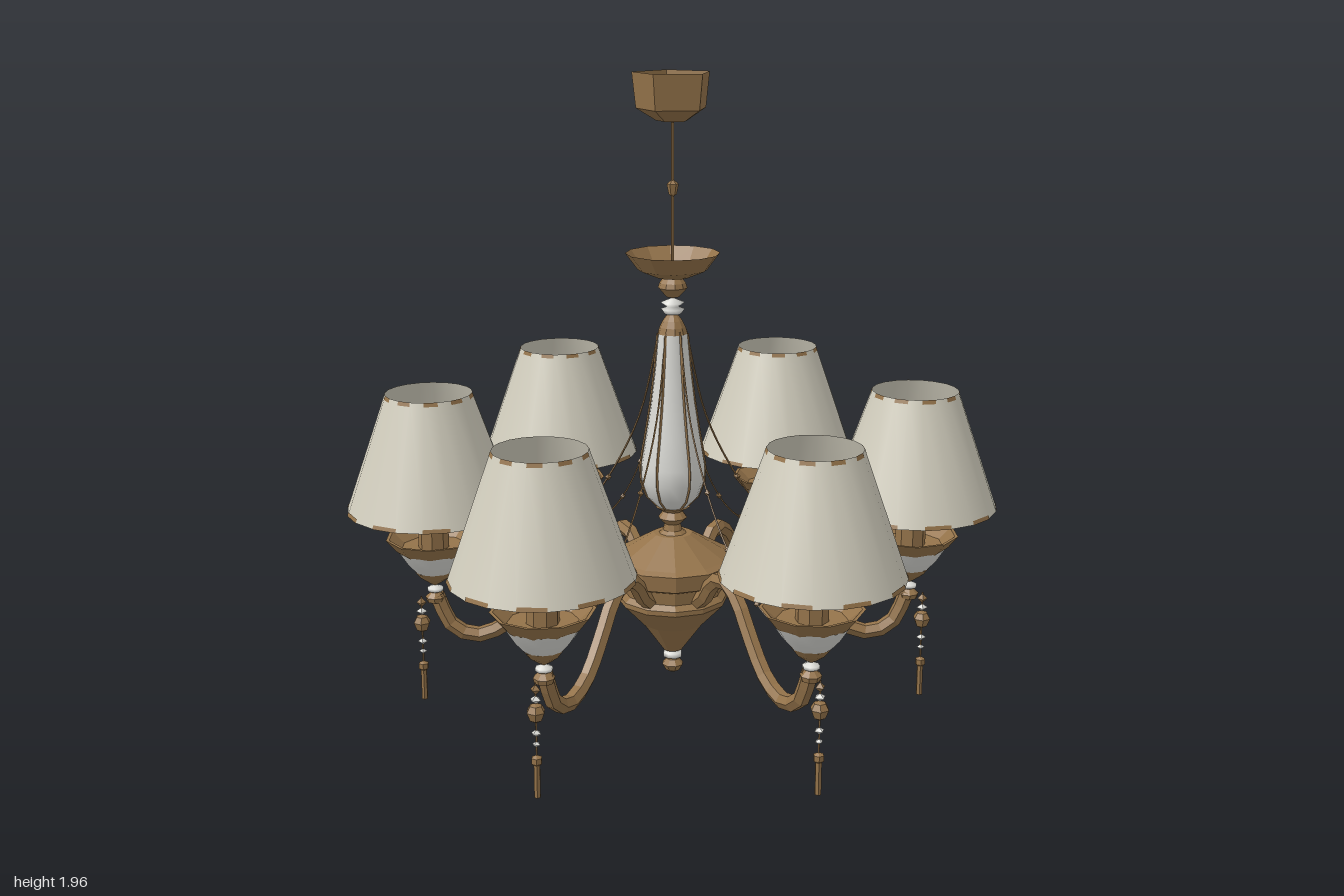
import * as THREE from 'three';

const mat = (name, color, flatShading) => {
  const m = new THREE.MeshStandardMaterial({ color, flatShading, side: THREE.DoubleSide });
  m.name = name;
  return m;
};

export function createModel() {
  const gold = mat('antique gold', 0x94734a, true);
  const fabric = mat('shade fabric', 0xd0ccbc, false);
  const glass = mat('white glass', 0xd9d9d4, false);

  const add = (parent, name, geometry, material) => {
    const mesh = new THREE.Mesh(geometry, material);
    mesh.name = name;
    parent.add(mesh);
    return mesh;
  };
  // Turned part: profile of [radius, y] from bottom to top
  const turned = (parent, name, profile, sides, material, x = 0) => {
    const pts = profile.map(([r, y]) => new THREE.Vector2(r, y));
    const mesh = add(parent, name, new THREE.LatheGeometry(pts, sides), material);
    mesh.position.x = x;
    return mesh;
  };
  // Tube in the plane of an arm through [radius, y] points
  const curveOf = (pts) => new THREE.CatmullRomCurve3(pts.map(([x, y]) => new THREE.Vector3(x, y, 0)));
  const tube = (parent, name, curve, segments, r, sides) =>
    add(parent, name, new THREE.TubeGeometry(curve, segments, r, sides), gold);
  const bead = (parent, name, r, x, y, material, stretch = 1) => {
    const mesh = add(parent, name, new THREE.OctahedronGeometry(r, 0), material);
    mesh.position.set(x, y, 0);
    mesh.scale.y = stretch;
    return mesh;
  };

  const model = new THREE.Group();
  model.name = 'chandelier';

  // Ceiling mount and suspension
  turned(model, 'ceilingCup', [[0, 1.81], [0.05, 1.815], [0.11, 1.85], [0.122, 1.955]], 5, gold);
  turned(model, 'suspensionRod', [[0.005, 1.38], [0.005, 1.83]], 5, gold);
  turned(model, 'rodConnector', [[0, 1.59], [0.012, 1.6], [0.018, 1.63], [0, 1.645]], 6, gold);
  turned(model, 'upperBowl', [[0, 1.35], [0.05, 1.352], [0.105, 1.375], [0.142, 1.425]], 12, gold);

  // Neck beads
  turned(model, 'neckCollar', [[0, 1.29], [0.02, 1.292], [0.045, 1.32], [0.04, 1.335], [0.025, 1.355]], 10, gold);
  turned(model, 'neckGlass', [[0, 1.235], [0.025, 1.24], [0.036, 1.255], [0.018, 1.262], [0.036, 1.275], [0, 1.29]], 10, glass);
  turned(model, 'neckCap', [[0.046, 1.18], [0.04, 1.2], [0.03, 1.22], [0.015, 1.24], [0, 1.24]], 10, gold);

  // Glass vase column with thin gold ribs
  const vase = [[0.045, 0.635], [0.08, 0.67], [0.097, 0.72], [0.098, 0.77], [0.083, 0.86],
    [0.066, 0.97], [0.053, 1.08], [0.044, 1.18]];
  turned(model, 'glassColumn', vase, 16, glass);
  const ribCurve = curveOf(vase.map(([r, y]) => [r + 0.001, y]));
  for (let i = 0; i < 6; i++) {
    tube(model, 'columnRib', ribCurve, 12, 0.004, 4).rotation.y = (i * Math.PI) / 3 + 0.5;
  }

  // Central hub and bottom finial
  turned(model, 'hubNeck', [[0.055, 0.54], [0.03, 0.56], [0.025, 0.58], [0.045, 0.6], [0.03, 0.62], [0.055, 0.636], [0, 0.64]], 10, gold);
  turned(model, 'hub', [[0, 0.16], [0.03, 0.165], [0.1, 0.26], [0.172, 0.335], [0.172, 0.35],
    [0.155, 0.365], [0.16, 0.405], [0.195, 0.42], [0.2, 0.47], [0.18, 0.48], [0.06, 0.55], [0, 0.55]], 12, gold);
  turned(model, 'hubGlassBead', [[0, 0.13], [0.03, 0.14], [0.03, 0.155], [0, 0.165]], 8, glass);
  turned(model, 'hubFinial', [[0, 0.085], [0.022, 0.095], [0.034, 0.115], [0.02, 0.132], [0, 0.135]], 8, gold);

  const R = 0.74;
  const armCurve = curveOf([[0.15, 0.37], [0.2, 0.41], [0.235, 0.46], [0.3, 0.482], [0.365, 0.445],
    [0.44, 0.345], [0.52, 0.255], [0.615, 0.217], [0.69, 0.25], [0.735, 0.35]]);
  const swagCurve = curveOf([[0.04, 1.19], [0.1, 0.93], [0.18, 0.76], [0.27, 0.63], [0.37, 0.53],
    [0.48, 0.46], [0.58, 0.43], [0.68, 0.44]]);

  for (let k = 0; k < 6; k++) {
    const arm = new THREE.Group();
    arm.name = 'lampArm';
    arm.rotation.y = THREE.MathUtils.degToRad(28.5 + 60 * k);
    model.add(arm);

    tube(arm, 'curvedArm', armCurve, 16, 0.025, 6);
    tube(arm, 'swagChain', swagCurve, 24, 0.003, 4);
    for (const t of [0.45, 0.62, 0.8]) {
      const p = swagCurve.getPointAt(t);
      bead(arm, 'swagBead', 0.011, p.x, p.y, gold);
    }

    // Cup: stem, glass bowl and gold rim dish
    turned(arm, 'armTip', [[0.028, 0.33], [0.032, 0.345], [0.015, 0.36], [0, 0.36]], 8, gold, R);
    turned(arm, 'stemGlass', [[0, 0.355], [0.025, 0.365], [0.025, 0.375], [0, 0.385]], 8, glass, R);
    turned(arm, 'cupBase', [[0, 0.38], [0.02, 0.392], [0.045, 0.41], [0.062, 0.432]], 10, gold, R);
    turned(arm, 'glassCup', [[0.058, 0.43], [0.085, 0.46], [0.112, 0.502]], 12, glass, R);
    turned(arm, 'rimDish', [[0.105, 0.495], [0.118, 0.505], [0.148, 0.543], [0.138, 0.543], [0.1, 0.51], [0, 0.505]], 10, gold, R);

    // Candle holder and bulb
    turned(arm, 'candleTube', [[0.047, 0.505], [0.047, 0.72], [0, 0.72]], 8, gold, R);
    turned(arm, 'bulb', [[0.025, 0.72], [0.05, 0.77], [0.04, 0.81], [0, 0.84]], 6, glass, R);

    // Fabric shade with dashed gold trim
    turned(arm, 'lampShade', [[0.26, 0.635], [0.132, 1.0]], 20, fabric, R);
    const step = Math.PI / 10;
    for (const [y, r0, r1] of [[0.641, 0.262, 0.258], [0.994, 0.1365, 0.1325]]) {
      for (let i = 0; i < 20; i += 2) {
        const dash = add(arm, 'shadeTrim',
          new THREE.CylinderGeometry(r1, r0, 0.012, 1, 1, true, i * step, step), gold);
        dash.position.set(R, y, 0);
      }
    }

    // Hanging crystal pendant
    const px = 0.785;
    turned(arm, 'pendantWire', [[0.003, 0.1], [0.003, 0.345]], 4, gold, px);
    bead(arm, 'pendantHook', 0.016, px, 0.325, gold);
    bead(arm, 'pendantGlass', 0.018, px, 0.295, glass, 0.7);
    turned(arm, 'pendantBead', [[0, 0.225], [0.018, 0.235], [0.028, 0.26], [0.018, 0.278], [0, 0.285]], 6, gold, px);
    bead(arm, 'pendantGlass', 0.016, px, 0.195, glass, 0.7);
    bead(arm, 'pendantGlass', 0.013, px, 0.162, glass, 0.7);
    turned(arm, 'pendantDrop', [[0, 0], [0.01, 0.002], [0.01, 0.1], [0.016, 0.105], [0.016, 0.122], [0, 0.13]], 6, gold, px);
  }
  return model;
}
